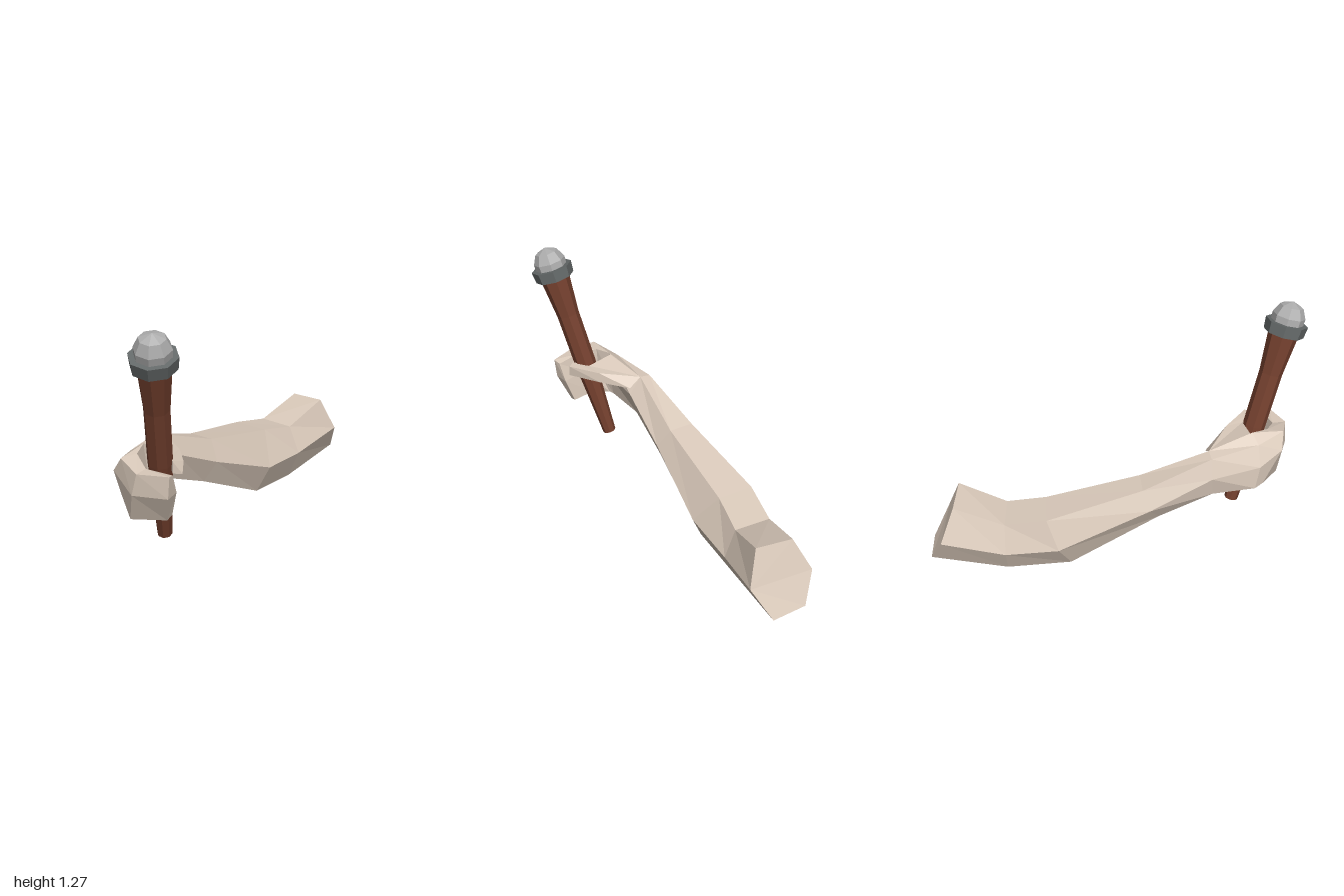
import * as THREE from 'three';

const material = (color) => new THREE.MeshStandardMaterial({ color, flatShading: true, roughness: 0.9 });

// Closed faceted skin through rings of equal point count, capped at both ends
function loft(rings) {
  const n = rings[0].length;
  const index = [];
  for (let i = 0; i < rings.length - 1; i++) {
    for (let j = 0; j < n; j++) {
      const a = i * n + j, b = i * n + (j + 1) % n;
      index.push(a, b, b + n, a, b + n, a + n);
    }
  }
  const end = (rings.length - 1) * n;
  for (let j = 1; j < n - 1; j++) {
    index.push(0, j + 1, j, end, end + j, end + j + 1);
  }
  const indexed = new THREE.BufferGeometry();
  indexed.setAttribute('position', new THREE.Float32BufferAttribute(rings.flat(2), 3));
  indexed.setIndex(index);
  const geometry = indexed.toNonIndexed();
  geometry.computeVertexNormals();
  return geometry;
}

function add(parent, name, geometry, mat) {
  const mesh = new THREE.Mesh(geometry, mat);
  mesh.name = name;
  parent.add(mesh);
  return mesh;
}

export function createModel() {
  const model = new THREE.Group();
  model.name = 'armHoldingHandle';

  const skin = material(0xd9c9ba);
  const wood = material(0x74402e);
  const darkMetal = material(0x646969);
  const lightMetal = material(0xacacac);

  // Ring order: inner middle, inner top, outer top, outer middle, outer bottom, inner bottom
  const shoulder = [[0.17, 0.23, -0.88], [0.10, 0.41, -0.82], [-0.09, 0.40, -0.86],
    [-0.16, 0.23, -0.94], [-0.08, 0.08, -1.0], [0.10, 0.07, -0.98]];
  const upperArm = [[0.09, 0.16, -0.58], [0.03, 0.31, -0.58], [-0.16, 0.31, -0.61],
    [-0.22, 0.16, -0.62], [-0.16, 0.02, -0.61], [0.02, 0, -0.60]];
  const elbow = [[0.07, 0.18, -0.28], [-0.02, 0.35, -0.38], [-0.21, 0.35, -0.40],
    [-0.27, 0.19, -0.35], [-0.20, 0.04, -0.28], [0, 0.03, -0.26]];
  const forearm = [[0, 0.36, 0.15], [-0.06, 0.46, 0.11], [-0.19, 0.46, 0.10],
    [-0.24, 0.36, 0.13], [-0.18, 0.27, 0.19], [-0.05, 0.26, 0.20]];
  const wrist = [[-0.03, 0.51, 0.46], [-0.10, 0.60, 0.46], [-0.16, 0.59, 0.46],
    [-0.20, 0.49, 0.46], [-0.18, 0.38, 0.47], [-0.07, 0.375, 0.46]];
  add(model, 'arm', loft([shoulder, upperArm, elbow, forearm, wrist]), skin);

  // Palm and the fingers curling across the front of the handle
  const palm = [[-0.04, 0.51, 0.69], [-0.05, 0.65, 0.70], [-0.11, 0.61, 0.72],
    [-0.17, 0.51, 0.72], [-0.18, 0.385, 0.70], [-0.06, 0.38, 0.69]];
  const knuckles = [[-0.02, 0.51, 0.78], [-0.02, 0.64, 0.79], [-0.05, 0.64, 0.87],
    [-0.11, 0.56, 0.85], [-0.15, 0.39, 0.75], [-0.05, 0.38, 0.72]];
  const fingerJoint = [[0.05, 0.50, 0.83], [0.07, 0.61, 0.85], [0.07, 0.61, 0.92],
    [0.04, 0.50, 0.92], [-0.01, 0.35, 0.87], [0.01, 0.36, 0.80]];
  const fingertips = [[0.19, 0.50, 0.79], [0.20, 0.60, 0.83], [0.21, 0.61, 0.87],
    [0.20, 0.50, 0.87], [0.15, 0.36, 0.81], [0.15, 0.37, 0.77]];
  add(model, 'hand', loft([wrist, palm, knuckles, fingerJoint, fingertips]), skin);

  // Thumb reaching behind the handle, thin and flat
  add(model, 'thumb', loft([
    [[-0.03, 0.55, 0.46], [-0.10, 0.60, 0.46], [-0.05, 0.645, 0.69], [-0.05, 0.57, 0.69]],
    [[0.08, 0.56, 0.59], [0.08, 0.615, 0.60], [0.09, 0.62, 0.69], [0.09, 0.56, 0.69]],
    [[0.19, 0.57, 0.74], [0.19, 0.63, 0.73], [0.15, 0.63, 0.76], [0.15, 0.57, 0.76]],
  ]), skin);

  // Eight-sided handle with collar and pommel, turned along a leaning axis
  const handle = new THREE.Group();
  handle.name = 'handle';
  handle.position.set(0.01, 0.18, 0.635);
  handle.quaternion.setFromUnitVectors(
    new THREE.Vector3(0, 1, 0), new THREE.Vector3(0.152, 0.954, 0.259).normalize());
  model.add(handle);
  const turned = (name, profile, mat) => add(handle, name,
    new THREE.LatheGeometry(profile.map(([r, y]) => new THREE.Vector2(r, y)), 8, Math.PI / 8), mat);
  turned('grip', [[0, 0], [0.036, 0], [0.059, 0.45], [0.06, 0.75], [0.079, 0.98], [0, 0.98]], wood);
  turned('collar', [[0, 0.97], [0.104, 0.97], [0.11, 1.03], [0, 1.03]], darkMetal);
  turned('pommel', [[0, 1.02], [0.083, 1.02], [0.085, 1.065], [0.06, 1.115], [0, 1.14]], lightMetal);

  return model;
}
